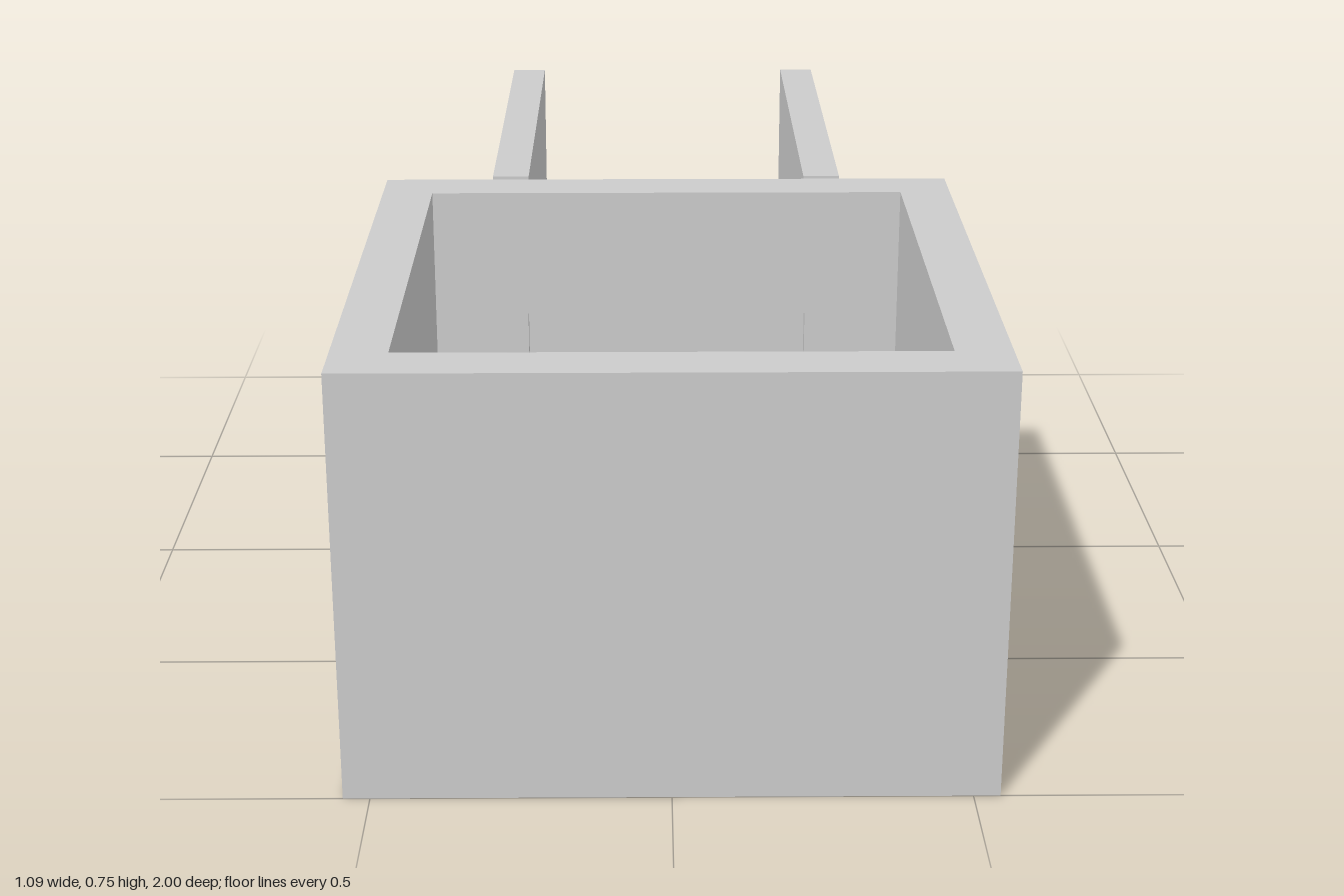
import * as THREE from 'three';

const material = new THREE.MeshStandardMaterial({ color: 0xcccccc, flatShading: true });
const HEIGHT = 0.75;

// Extrude an outline of [x, y] points along z, from z0 to z1
function prism(name, points, z0, z1) {
  const shape = new THREE.Shape(points.map(([x, y]) => new THREE.Vector2(x, y)));
  const geometry = new THREE.ExtrudeGeometry(shape, { depth: z1 - z0, bevelEnabled: false });
  geometry.translate(0, 0, z0);
  const mesh = new THREE.Mesh(geometry, material);
  mesh.name = name;
  return mesh;
}

// U-shaped cross-section: floor with a wall on each side
function channel(half, wall, floor) {
  return [
    [-half, 0], [half, 0], [half, HEIGHT], [half - wall, HEIGHT],
    [half - wall, floor], [wall - half, floor], [wall - half, HEIGHT], [-half, HEIGHT],
  ];
}

const rectangle = (half, y0, y1) => [[-half, y0], [half, y0], [half, y1], [-half, y1]];

export function createModel() {
  const model = new THREE.Group();
  model.name = 'roomWithCorridor';

  // Open-topped square room
  const half = 0.545, wall = 0.095, back = -0.09, front = 1;
  const room = new THREE.Group();
  room.name = 'room';
  room.add(prism('roomFloorAndSides', channel(half, wall, wall), back + wall, front - wall));
  room.add(prism('frontWall', rectangle(half, 0, HEIGHT), front - wall, front));

  // Back wall with a doorway standing on the floor
  const door = 0.27, doorTop = 0.505;
  const backWall = prism('backWall', [
    [-half, 0], [half, 0], [half, HEIGHT], [-half, HEIGHT],
  ], back, back + wall);
  const outline = new THREE.Shape(rectangle(half, 0, HEIGHT).map(([x, y]) => new THREE.Vector2(x, y)));
  outline.holes.push(new THREE.Path(rectangle(door, wall, doorTop).map(([x, y]) => new THREE.Vector2(x, y))));
  backWall.geometry = new THREE.ExtrudeGeometry(outline, { depth: wall, bevelEnabled: false })
    .translate(0, 0, back);
  room.add(backWall);

  // Door leaf set back from both faces of the wall
  const recess = 0.024;
  room.add(prism('door', rectangle(door, wall, doorTop), back + recess, back + wall - recess));

  // Corridor, open at the top and both ends, with a narrow gap to the room
  const corridor = prism('corridor', channel(0.34, 0.07, 0.07), -1, -0.11);

  model.add(room, corridor);
  return model;
}
